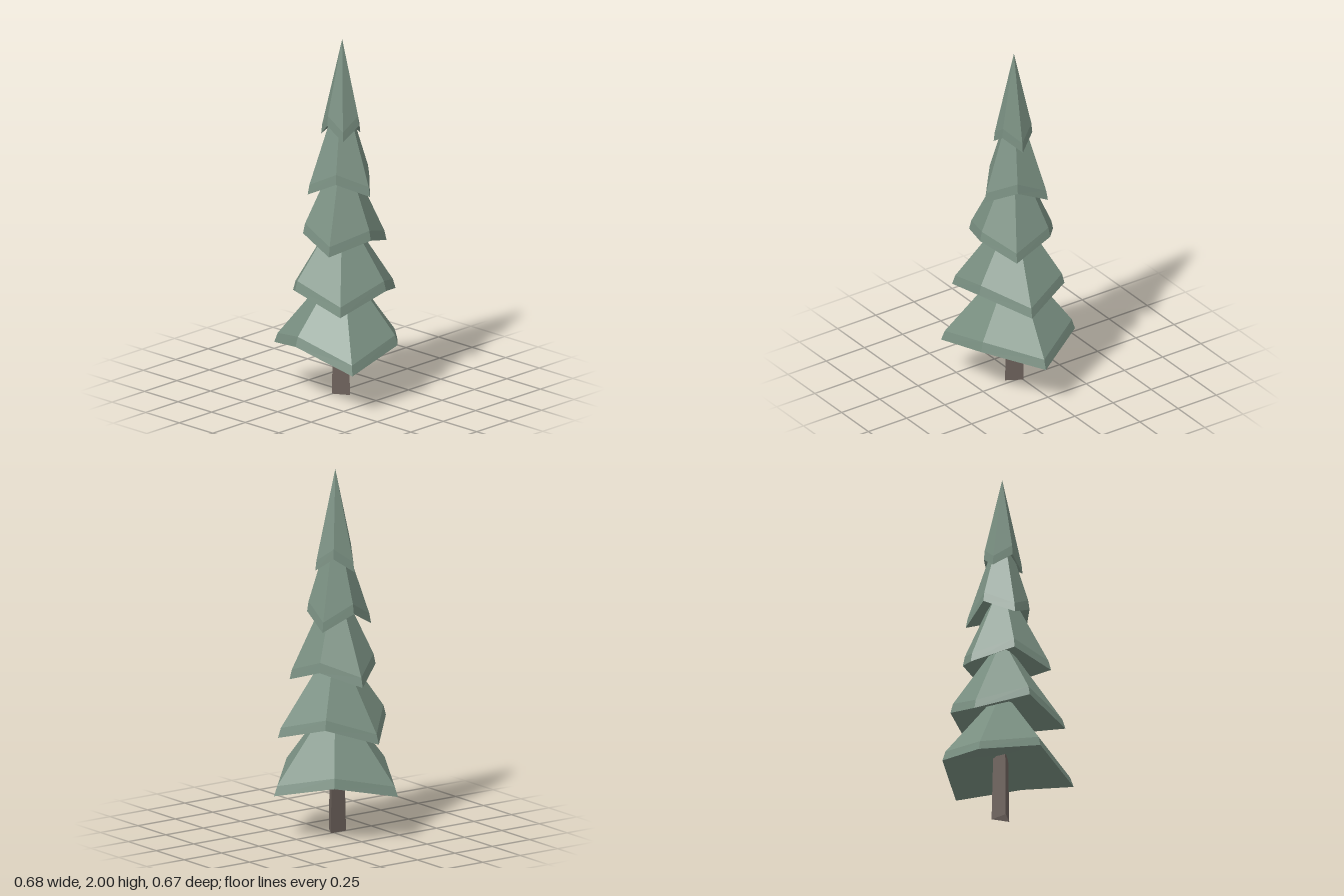
import * as THREE from 'three';

const AXIS_X = -0.03, AXIS_Z = 0.027;

// Each tier: rim corners [x, y, z] clockwise from the back, and the tip height
const TIERS = [
  { tip: 0.76, rim: [[-0.178, 0.238, -0.336], [0.17, 0.312, -0.232], [0.341, 0.236, 0.078],
    [0.09, 0.31, 0.325], [-0.27, 0.222, 0.335], [-0.341, 0.323, -0.02]] },
  { tip: 1.065, rim: [[-0.095, 0.527, -0.276], [0.175, 0.62, -0.16], [0.28, 0.54, 0.125],
    [0.03, 0.623, 0.296], [-0.281, 0.535, 0.255], [-0.302, 0.62, -0.062]] },
  { tip: 1.415, rim: [[-0.025, 0.84, -0.226], [0.156, 0.92, -0.08], [0.18, 0.843, 0.155],
    [-0.035, 0.911, 0.245], [-0.265, 0.851, 0.155], [-0.215, 0.92, -0.086]] },
  { tip: 1.755, rim: [[-0.035, 1.228, -0.133], [0.135, 1.139, -0.08], [0.106, 1.22, 0.097],
    [-0.02, 1.15, 0.225], [-0.158, 1.223, 0.103], [-0.201, 1.14, -0.065]] },
  { tip: 2.0, rim: [[-0.068, 1.447, -0.093], [0.036, 1.523, -0.047], [0.086, 1.45, 0.05],
    [0, 1.524, 0.123], [-0.106, 1.451, 0.106], [-0.123, 1.526, 0.005]] },
];

// Faceted drooping cone with a bevelled zigzag rim and a hollow underside
function tierGeometry({ rim, tip }) {
  const inset = 0.95, bevel = 0.054, hollow = 0.15;
  const upper = rim.map(([x, y, z]) => [
    AXIS_X + (x - AXIS_X) * inset, y + bevel, AXIS_Z + (z - AXIS_Z) * inset,
  ]);
  const apex = [AXIS_X, tip, AXIS_Z];
  const inside = [AXIS_X, Math.min(...rim.map((p) => p[1])) + hollow, AXIS_Z];
  const points = [];
  rim.forEach((corner, i) => {
    const n = (i + 1) % rim.length;
    points.push(upper[n], upper[i], apex);                                   // slope
    points.push(rim[n], corner, upper[i], rim[n], upper[i], upper[n]);       // bevel
    points.push(corner, rim[n], inside);                                     // underside
  });
  const geometry = new THREE.BufferGeometry();
  geometry.setAttribute('position', new THREE.Float32BufferAttribute(points.flat(), 3));
  geometry.computeVertexNormals();
  return geometry;
}

export function createModel() {
  const needles = new THREE.MeshStandardMaterial({ color: 0x7a9082, flatShading: true });
  needles.name = 'needleGreen';
  const bark = new THREE.MeshStandardMaterial({ color: 0x6d625c, flatShading: true, side: THREE.DoubleSide });
  bark.name = 'barkBrown';

  const tree = new THREE.Group();
  tree.name = 'pineTree';

  // Three-sided tapering trunk, open at both ends
  const height = 0.42;
  const trunk = new THREE.Mesh(new THREE.CylinderGeometry(0.048, 0.058, height, 3, 1, true), bark);
  trunk.name = 'trunk';
  trunk.position.set(AXIS_X, height / 2, AXIS_Z);
  tree.add(trunk);

  // Stacked foliage, bottom to top
  TIERS.forEach((tier, i) => {
    const mesh = new THREE.Mesh(tierGeometry(tier), needles);
    mesh.name = `foliageTier${i + 1}`;
    tree.add(mesh);
  });

  return tree;
}
